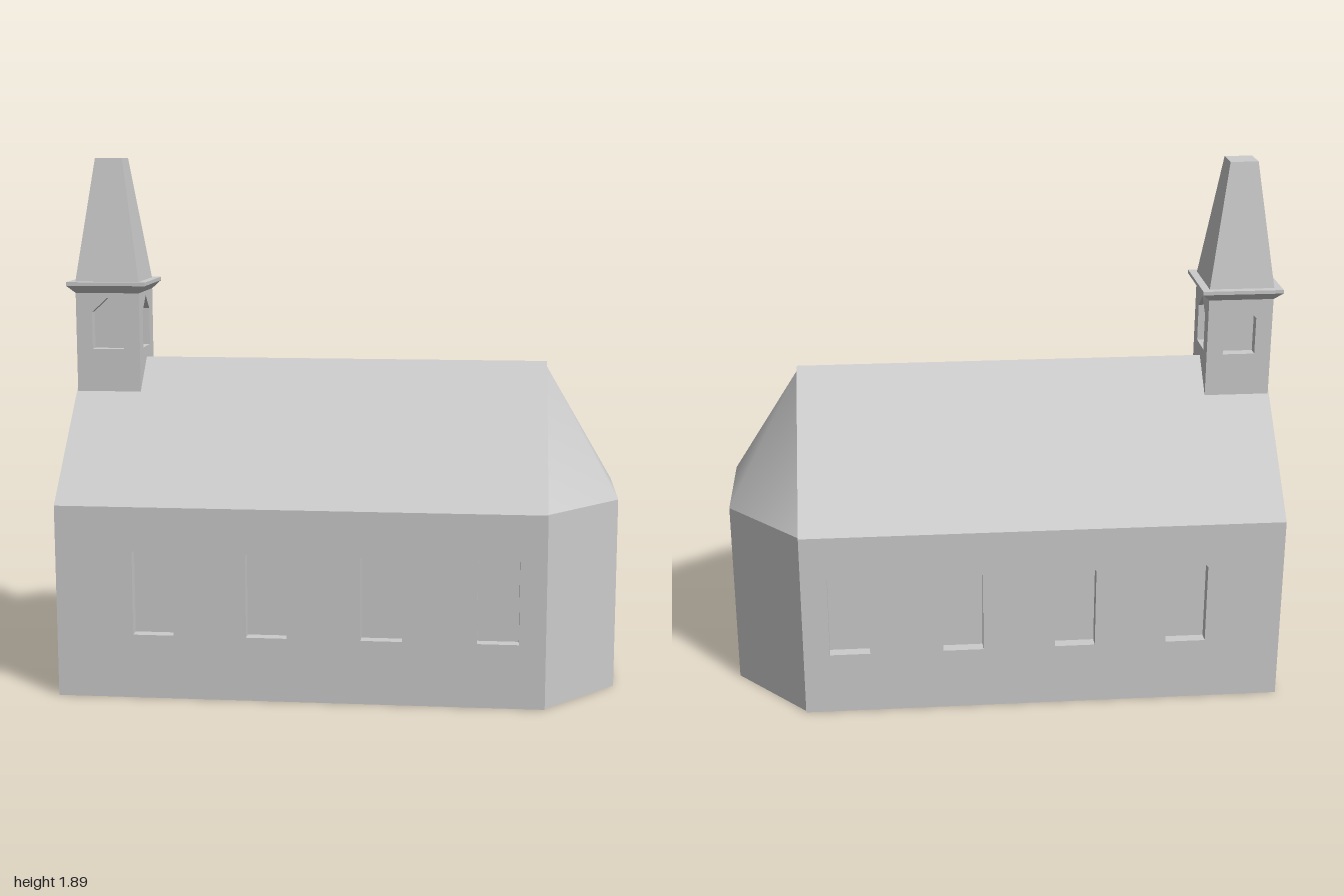
import * as THREE from 'three';

const stone = new THREE.MeshStandardMaterial({ color: 0xcccccc });
stone.name = 'pale grey stone';

// Nave
const X0 = -0.975, X1 = 0.745, HALF = 0.475, EAVE = 0.69, RIDGE = 1.16;
const RECESS = 0.04;
// Tower
const TX = -0.854, TW = 0.117, T0 = 1.0, T1 = 1.405;

function add(parent, name, geometry) {
  const mesh = new THREE.Mesh(geometry, stone);
  mesh.name = name;
  parent.add(mesh);
  return mesh;
}

const toShape = pts => new THREE.Shape(pts.map(p => new THREE.Vector2(...p)));
const rect = (x0, x1, y0, y1) => [[x0, y0], [x1, y0], [x1, y1], [x0, y1]];

// Opening with a pointed head
const pointed = (x, w, y0, shoulder, peak) =>
  toShape([[x - w, y0], [x + w, y0], [x + w, shoulder], [x, peak], [x - w, shoulder]]);

// Wall panel with openings; its outer face is at z = 0, its body lies behind
function panel(outline, holes) {
  const shape = toShape(outline);
  shape.holes = holes;
  return new THREE.ExtrudeGeometry(shape, { depth: RECESS, bevelEnabled: false, curveSegments: 16 })
    .translate(0, 0, -RECESS);
}

// Square frustum with flat sides, standing on y0
function frustum(bottom, top, y0, y1) {
  const g = new THREE.CylinderGeometry(top * Math.SQRT2, bottom * Math.SQRT2, y1 - y0, 4)
    .rotateY(Math.PI / 4).translate(0, (y0 + y1) / 2, 0).toNonIndexed();
  g.computeVertexNormals();
  return g;
}

function createNave() {
  const nave = new THREE.Group();
  nave.name = 'nave';

  // Roof and core, set back behind the wall panels
  const inner = HALF - RECESS;
  const profile = toShape([[-inner, 0], [inner, 0], [inner, EAVE], [HALF, EAVE],
    [0, RIDGE], [-HALF, EAVE], [-inner, EAVE]]);
  add(nave, 'roofAndCore', new THREE.ExtrudeGeometry(profile,
    { depth: X1 - X0 - RECESS, bevelEnabled: false }).rotateY(Math.PI / 2).translate(X0 + RECESS, 0, 0));

  // Side walls with four windows each
  for (const side of [1, -1]) {
    const holes = [-0.63, -0.228, 0.175, 0.58].map(x => pointed(side * x, 0.072, 0.23, 0.525, 0.592));
    const ends = [side * (X0 + RECESS), side * X1].sort((a, b) => a - b);
    const wall = add(nave, side > 0 ? 'frontWall' : 'backWall', panel(rect(...ends, 0, EAVE), holes));
    wall.rotation.y = side > 0 ? 0 : Math.PI;
    wall.position.z = side * HALF;
  }

  // Entrance gable with door and round window
  const rose = new THREE.Path().absarc(0, 0.835, 0.1, 0, Math.PI * 2, true);
  const gable = add(nave, 'entranceGable', panel(
    [[-HALF, 0], [HALF, 0], [HALF, EAVE], [0, RIDGE], [-HALF, EAVE]],
    [pointed(0, 0.088, 0.05, 0.34, 0.42), rose]));
  gable.rotation.y = -Math.PI / 2;
  gable.position.x = X0;
  return nave;
}

function createApse() {
  const apse = new THREE.Group();
  apse.name = 'apse';
  const plan = [[X1, -0.465], [1, -0.19], [1, 0.19], [X1, 0.465]];
  add(apse, 'apseWalls', new THREE.ExtrudeGeometry(toShape(plan), { depth: EAVE, bevelEnabled: false })
    .rotateX(-Math.PI / 2));

  // Smoothly shaded roof fanned from its apex
  const roof = new THREE.BufferGeometry();
  const points = [X1, 1.14, 0];
  for (const [x, z] of plan) points.push(x, EAVE, z);
  roof.setAttribute('position', new THREE.Float32BufferAttribute(points, 3));
  roof.setIndex([0, 2, 1, 0, 3, 2, 0, 4, 3]);
  roof.computeVertexNormals();
  add(apse, 'apseRoof', roof);
  return apse;
}

function createTower() {
  const tower = new THREE.Group();
  tower.name = 'tower';
  tower.position.x = TX;
  const inner = TW - RECESS;
  add(tower, 'belfryCore', new THREE.BoxGeometry(inner * 2, T1 - T0, inner * 2)
    .translate(0, (T0 + T1) / 2, 0));

  // Belfry walls, one window on each side
  for (let i = 0; i < 4; i++) {
    const w = i % 2 ? TW : inner;
    const wall = add(tower, 'belfryWall', panel(rect(-w, w, T0, T1),
      [pointed(0, 0.058, 1.2, 1.335, 1.388)]));
    wall.rotation.y = i * Math.PI / 2;
    wall.position.set(Math.sin(i * Math.PI / 2) * TW, 0, Math.cos(i * Math.PI / 2) * TW);
  }

  add(tower, 'corniceFlare', frustum(TW, 0.145, T1, 1.433));
  add(tower, 'corniceSlab', frustum(0.145, 0.145, 1.433, 1.446));
  add(tower, 'spire', frustum(TW, 0.05, 1.446, 1.89));
  return tower;
}

export function createModel() {
  const church = new THREE.Group();
  church.name = 'church';
  church.add(createNave(), createApse(), createTower());
  return church;
}
